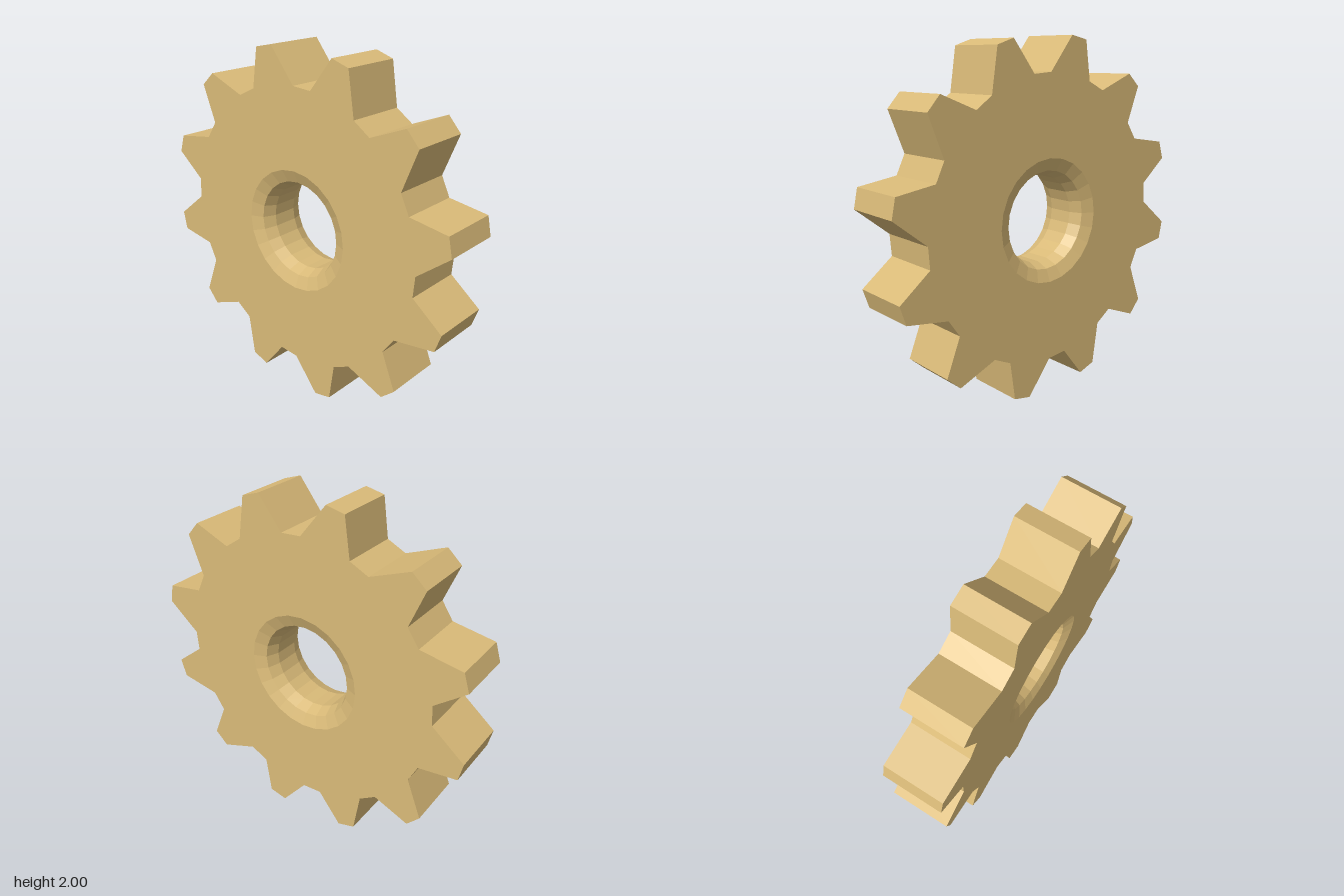
import * as THREE from 'three';

const HALF = 0.174;      // half thickness of the wheel
const TEETH = 12;
const BORE_SIDES = 24;

const polar = (r, deg) => {
  const a = THREE.MathUtils.degToRad(deg);
  return new THREE.Vector2(r * Math.cos(a), r * Math.sin(a));
};

const circle = (r) =>
  Array.from({ length: BORE_SIDES }, (_, i) => polar(r, (i * 360) / BORE_SIDES));

// Flat-shaded band through closed counter-clockwise rings;
// front-to-back order faces outward, back-to-front faces inward
function band(rings) {
  const pos = [];
  for (let k = 0; k < rings.length - 1; k++) {
    const p = rings[k], q = rings[k + 1], n = p.points.length;
    for (let i = 0; i < n; i++) {
      const j = (i + 1) % n;
      const a = [p.points[i].x, p.points[i].y, p.z];
      const b = [p.points[j].x, p.points[j].y, p.z];
      const c = [q.points[j].x, q.points[j].y, q.z];
      const d = [q.points[i].x, q.points[i].y, q.z];
      pos.push(...a, ...d, ...b, ...b, ...d, ...c);
    }
  }
  const g = new THREE.BufferGeometry();
  g.setAttribute('position', new THREE.Float32BufferAttribute(pos, 3));
  g.computeVertexNormals();
  return g;
}

// Flat side of the wheel with its round opening
function sideFace(outline, opening) {
  const shape = new THREE.Shape(outline);
  shape.holes.push(new THREE.Path(opening));
  return new THREE.ShapeGeometry(shape).translate(0, 0, HALF);
}

export function createModel() {
  const group = new THREE.Group();
  group.name = 'gear';
  const brass = new THREE.MeshStandardMaterial({ color: 0xd9ba78, flatShading: true });
  brass.name = 'brass';

  const add = (name, geometry) => {
    const mesh = new THREE.Mesh(geometry, brass);
    mesh.name = name;
    mesh.position.y = 1;
    group.add(mesh);
  };

  // Tooth outline: two tip corners and two root corners per tooth
  const outline = [];
  for (let i = 0; i < TEETH; i++) {
    const t = (i * 360) / TEETH;
    outline.push(polar(0.808, t), polar(1.012, t + 8.8), polar(1.012, t + 15.1), polar(0.808, t + 21.5));
  }
  add('teeth', band([{ points: outline, z: HALF }, { points: outline, z: -HALF }]));

  // Front and back faces
  const flip = (pts) => pts.map((p) => new THREE.Vector2(p.x, -p.y));
  add('frontFace', sideFace(outline, circle(0.35)));
  add('backFace', sideFace(flip(outline), flip(circle(0.35))).rotateX(Math.PI));

  // Bore with a rounded lip on each side
  const lip = [[0.35, HALF], [0.279, HALF - 0.029], [0.25, HALF - 0.1]];
  const profile = [...lip.map(([r, z]) => [r, -z]), ...lip.slice().reverse()];
  add('bore', band(profile.map(([r, z]) => ({ points: circle(r), z }))));

  return group;
}
